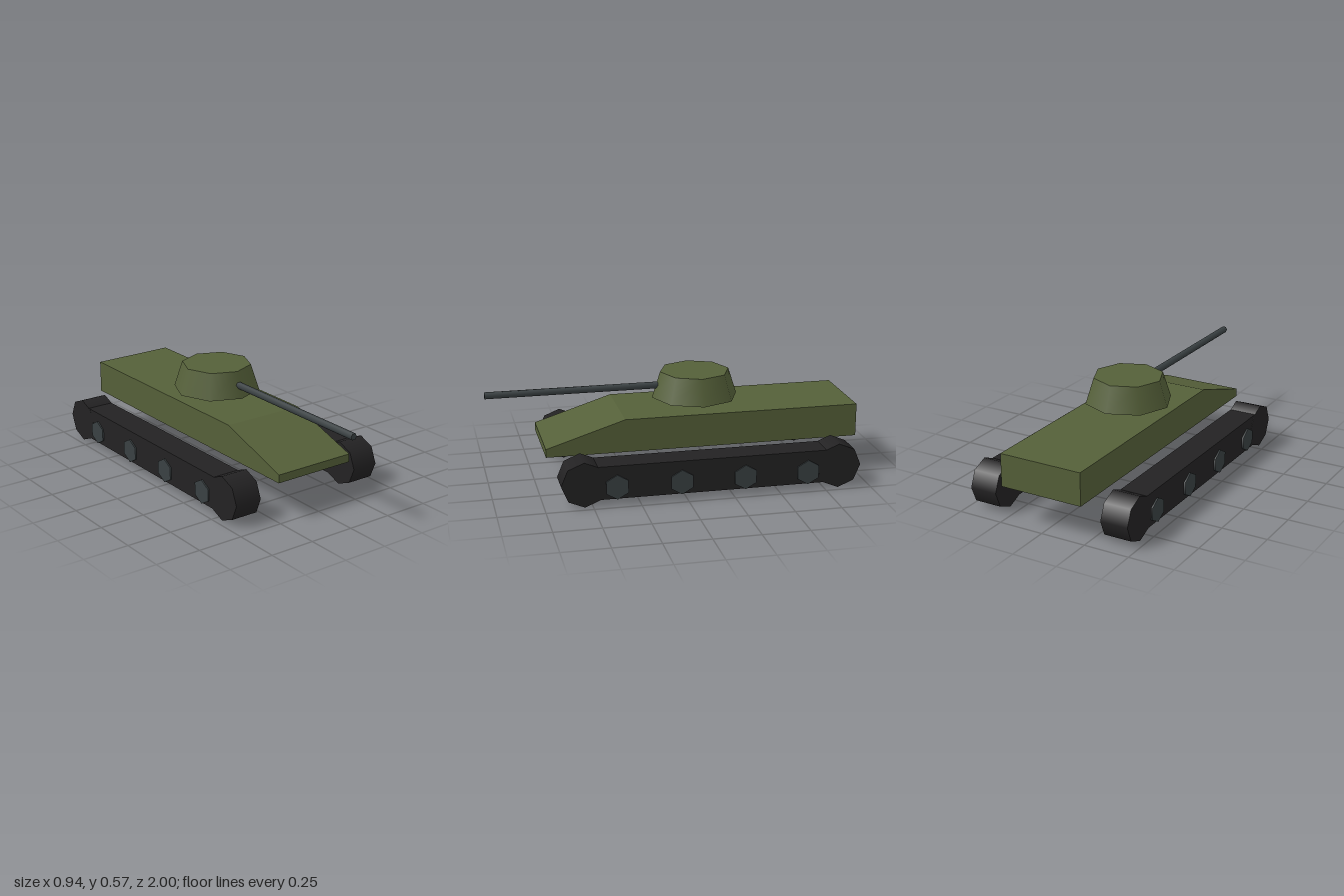
import * as THREE from 'three';

const olive = new THREE.MeshStandardMaterial({ name: 'olive paint', color: 0x556039 });
const rubber = new THREE.MeshStandardMaterial({ name: 'track black', color: 0x232223 });
const steel = new THREE.MeshStandardMaterial({ name: 'gun steel', color: 0x3a4143 });

function add(parent, name, geometry, material, x = 0, y = 0, z = 0) {
  const mesh = new THREE.Mesh(geometry, material);
  mesh.name = name;
  mesh.position.set(x, y, z);
  parent.add(mesh);
  return mesh;
}

// Cylinder lying along x, with a corner pointing straight up
const axle = (radius, width, sides) =>
  new THREE.CylinderGeometry(radius, radius, width, sides).rotateX(Math.PI / 2).rotateY(Math.PI / 2);

export function createModel() {
  const model = new THREE.Group();
  model.name = 'tank';

  // Hull: side profile (z, y) with sloped nose, extruded across x
  const halfWidth = 0.233;
  const profile = new THREE.Shape(
    [[0.71, 0.205], [0.71, 0.25], [0.285, 0.385], [-1, 0.385], [-1, 0.205]]
      .map(([z, y]) => new THREE.Vector2(-z, y)));
  const hull = new THREE.ExtrudeGeometry(profile, { depth: halfWidth * 2, bevelEnabled: false });
  hull.translate(0, 0, -halfWidth).rotateY(Math.PI / 2);
  add(model, 'hull', hull, olive);

  // Turret: tapered octagon with smooth sides
  add(model, 'turret', new THREE.CylinderGeometry(0.191, 0.237, 0.142, 8), olive, 0, 0.496, -0.143);

  // Gun barrel: hexagonal, corners to the sides
  const barrel = new THREE.CylinderGeometry(0.019, 0.019, 1, 6).rotateX(Math.PI / 2).rotateZ(Math.PI / 2);
  add(model, 'gunBarrel', barrel, steel, 0, 0.494, 0.5);

  // Tracks: belt box, an octagonal drum at each end, road wheels on the outside
  for (const side of [-1, 1]) {
    const track = new THREE.Group();
    track.name = side > 0 ? 'leftTrack' : 'rightTrack';
    track.position.x = side * 0.388;
    model.add(track);

    add(track, 'belt', new THREE.BoxGeometry(0.152, 0.18, 1.37), rubber, 0, 0.126, -0.14);
    for (const z of [0.543, -0.826]) {
      add(track, 'endDrum', axle(0.122, 0.1525, 8), rubber, 0, 0.123, z);
    }
    for (let i = 0; i < 4; i++) {
      add(track, 'roadWheel', axle(0.067, 0.03, 6), steel, side * 0.069, 0.101, 0.373 - i * 0.343);
    }
  }
  return model;
}
